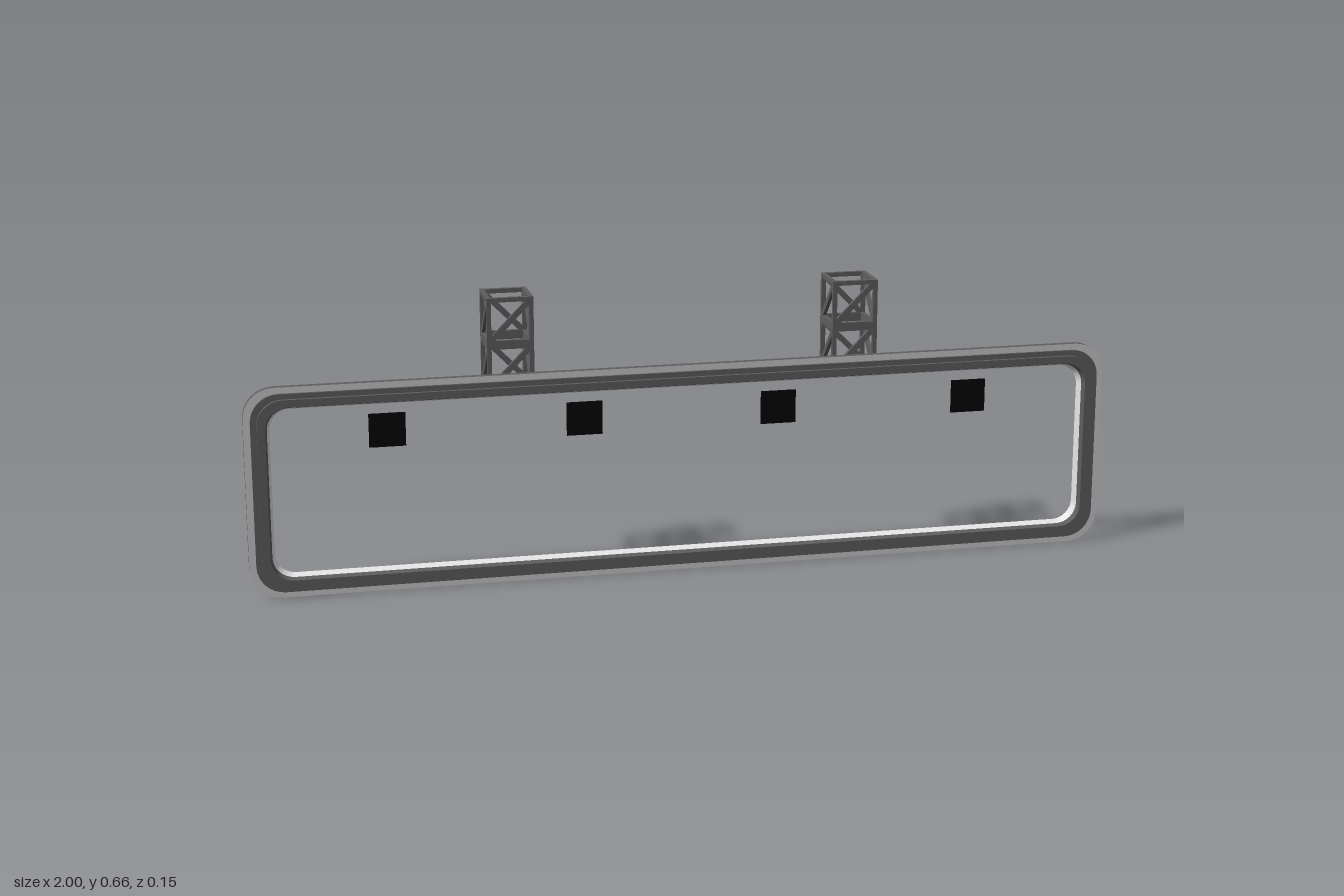
import * as THREE from 'three';

const steel = new THREE.MeshStandardMaterial({ color: 0x5e5e5e, side: THREE.DoubleSide });
steel.name = 'dark steel';
const rimGrey = new THREE.MeshStandardMaterial({ color: 0xc8c8c8, side: THREE.DoubleSide });
rimGrey.name = 'rim grey';
const pale = new THREE.MeshStandardMaterial({ color: 0xf4f4f4, side: THREE.DoubleSide });
pale.name = 'pale lining';
const black = new THREE.MeshStandardMaterial({ color: 0x020202 });
black.name = 'black';

const H = 0.485, RADIUS = 0.07, CORNER_STEPS = 8;

// Rounded rectangle inset from the frame's outline
function outline(inset, z) {
  const r = Math.max(RADIUS - inset * 0.45, 0.03);
  const w = 1 - inset * 1.1 - r, h = H / 2 - inset - r;
  const points = [];
  [[1, 1], [-1, 1], [-1, -1], [1, -1]].forEach(([sx, sy], q) => {
    for (let i = 0; i <= CORNER_STEPS; i++) {
      const a = (q + i / CORNER_STEPS) * Math.PI / 2;
      points.push([sx * w + r * Math.cos(a), H / 2 + sy * h + r * Math.sin(a), z]);
    }
  });
  return points;
}

// Band of surface between two outlines, each given as [inset, z]
function band(name, from, to, material) {
  const a = outline(...from), b = outline(...to), n = a.length;
  const index = [];
  for (let i = 0; i < n; i++) {
    const j = (i + 1) % n;
    index.push(i, j, n + j, i, n + j, n + i);
  }
  const geometry = new THREE.BufferGeometry();
  geometry.setAttribute('position', new THREE.Float32BufferAttribute([...a, ...b].flat(), 3));
  geometry.setIndex(index);
  geometry.computeVertexNormals();
  const mesh = new THREE.Mesh(geometry, material);
  mesh.name = name;
  return mesh;
}

// Stepped frame, hollow at the back
function makeFrame() {
  const frame = new THREE.Group();
  frame.name = 'frame';
  const profile = [[0, 0.045], [0, 0.06], [0.014, 0.06], [0.014, 0.066],
    [0.026, 0.066], [0.026, 0.074], [0.043, 0.074], [0.047, 0.061], [0.053, 0.045]];
  const names = ['outerWall', 'outerRim', 'middleWall', 'middleStep', 'innerStepWall',
    'frontFace', 'innerWall', 'innerLining'];
  const special = { outerRim: rimGrey, innerLining: pale };
  names.forEach((name, i) => frame.add(band(name, profile[i], profile[i + 1], special[name] || steel)));
  return frame;
}

// Flat bar between two points
function bar(name, a, b, t, depth = t) {
  const start = new THREE.Vector3(...a), end = new THREE.Vector3(...b);
  const dir = end.clone().sub(start);
  const mesh = new THREE.Mesh(new THREE.BoxGeometry(t, dir.length(), depth), steel);
  mesh.name = name;
  mesh.position.copy(start).add(end).multiplyScalar(0.5);
  mesh.quaternion.setFromUnitVectors(new THREE.Vector3(0, 1, 0), dir.normalize());
  return mesh;
}

// Tower of two stacked cells with one diagonal per face, crossing the one opposite
function makeTower() {
  const tower = new THREE.Group();
  const t = 0.01, s = 0.053 - t / 2, cell = 0.1075;
  for (let side = 0; side < 4; side++) {
    const face = new THREE.Group();
    face.name = 'towerSide';
    face.rotation.y = side * Math.PI / 2;
    face.add(bar('post', [s, 0, s], [s, 2 * cell, s], t));
    for (let level = 0; level < 2; level++) {
      const lo = level * cell + t / 2, hi = (level + 1) * cell - t / 2;
      face.add(
        bar('lowerRail', [-s, lo, s], [s, lo, s], t),
        bar('upperRail', [-s, hi, s], [s, hi, s], t),
        bar('brace', [-s, lo, s], [s, hi, s], 0.013, 0.008));
    }
    tower.add(face);
  }
  return tower;
}

export function createModel() {
  const model = new THREE.Group();
  model.name = 'hangingSignFrame';
  model.add(makeFrame());

  for (const side of [-1, 1]) {
    const tower = makeTower();
    tower.name = side > 0 ? 'leftTower' : 'rightTower';
    tower.position.set(side * 0.4, 0.44, -0.0195);
    model.add(tower);
  }

  // Row of small black plates
  for (const x of [-0.683, -0.237, 0.215, 0.672]) {
    const plate = new THREE.Mesh(new THREE.BoxGeometry(0.082, 0.077, 0.004), black);
    plate.name = 'plate';
    plate.position.set(x, 0.372, 0.05);
    model.add(plate);
  }
  return model;
}
